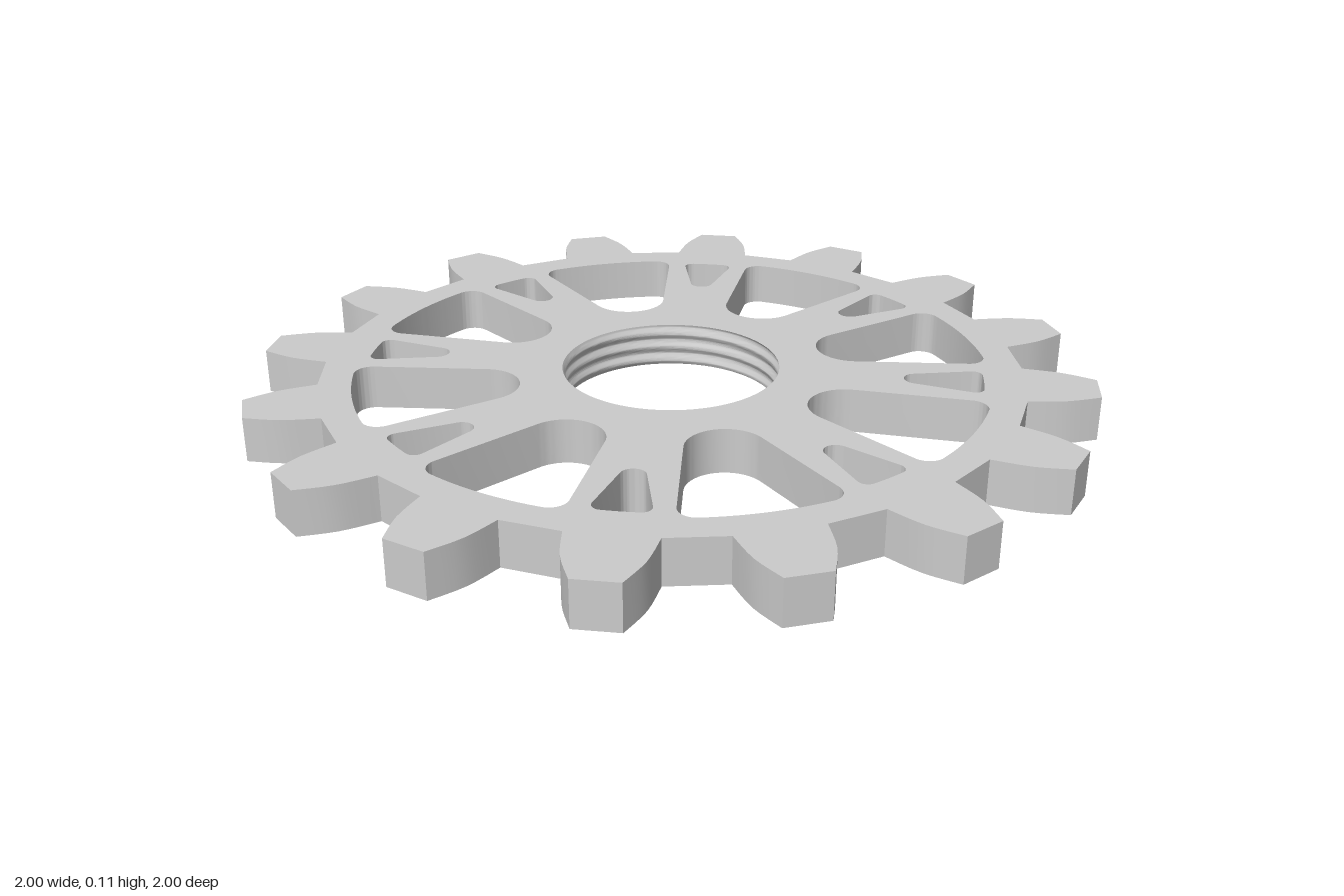
import * as THREE from 'three';
import { toCreasedNormals } from 'three/addons/utils/BufferGeometryUtils.js';

const HEIGHT = 0.107, TEETH = 16, SPOKES = 8;
const BORE = 0.256, COLLAR = 0.275, BORE_SEGMENTS = 96;

const rotated = (points, angle) => points.map(p => p.clone().rotateAround(new THREE.Vector2(), angle));

// Outline of the toothed rim: each tooth has a flat tip and slightly bowed flanks
function gearOutline() {
  const flank = new THREE.SplineCurve([
    new THREE.Vector2(0.096, 0.83), new THREE.Vector2(0.082, 0.92), new THREE.Vector2(0.05, 1)
  ]).getPoints(8);
  const mirrored = flank.map(p => new THREE.Vector2(-p.x, p.y)).reverse();
  const tooth = [...flank, ...mirrored];
  const outline = [];
  for (let i = 0; i < TEETH; i++) outline.push(...rotated(tooth, i * 2 * Math.PI / TEETH));
  return new THREE.Shape(outline);
}

// Wedge-shaped window: round inner end, slanted sides, filleted corners, outer arc about the hub
function windowPoints({ centre, inner, slant, outer, fillet }) {
  const cos = Math.cos(slant), sin = Math.sin(slant);
  const x0 = cos * (inner - fillet), y0 = centre - sin * (inner - fillet);
  const b = x0 * sin + y0 * cos;
  const t = -b + Math.sqrt(b * b - (x0 * x0 + y0 * y0 - (outer - fillet) ** 2));
  const fx = x0 + t * sin, fy = y0 + t * cos;
  const corner = Math.atan2(fy, fx);
  const path = new THREE.Path();
  path.absarc(0, centre, inner, Math.PI + slant, 2 * Math.PI - slant);
  path.absarc(fx, fy, fillet, -slant, corner);
  path.absarc(0, 0, outer, corner, Math.PI - corner);
  path.absarc(-fx, fy, fillet, Math.PI - corner, Math.PI + slant);
  path.closePath();
  return path.getPoints(16);
}

// Flat gear body with the windows cut through it
function plateGeometry() {
  const shape = gearOutline();
  const large = windowPoints({ centre: 0.462, inner: 0.092, slant: 0.31, outer: 0.757, fillet: 0.04 });
  const small = windowPoints({ centre: 0.58, inner: 0.029, slant: 0.24, outer: 0.737, fillet: 0.022 });
  const step = 2 * Math.PI / SPOKES;
  for (let i = 0; i < SPOKES; i++) {
    shape.holes.push(new THREE.Path(rotated(large, i * step)));
    shape.holes.push(new THREE.Path(rotated(small, (i + 0.5) * step)));
  }
  const circle = [];
  for (let i = 0; i < BORE_SEGMENTS; i++) {
    const a = i * 2 * Math.PI / BORE_SEGMENTS;
    circle.push(new THREE.Vector2(COLLAR * Math.cos(a), COLLAR * Math.sin(a)));
  }
  shape.holes.push(new THREE.Path(circle));
  const geometry = new THREE.ExtrudeGeometry(shape, { depth: HEIGHT, bevelEnabled: false });
  geometry.rotateX(-Math.PI / 2);
  return toCreasedNormals(geometry, 0.35);
}

// Bore wall with a helical thread, closed to the plate by flat rings at top and bottom
function threadGeometry() {
  const rows = 30, pitch = 0.036, depth = 0.008;
  const positions = [], index = [];
  for (let i = 0; i <= BORE_SEGMENTS; i++) {
    const a = i * 2 * Math.PI / BORE_SEGMENTS;
    for (let j = 0; j <= rows + 2; j++) {
      const y = HEIGHT * (1 - THREE.MathUtils.clamp((j - 1) / rows, 0, 1));
      const groove = 0.5 - 0.5 * Math.cos(2 * Math.PI * y / pitch + a);
      const r = j === 0 || j === rows + 2 ? COLLAR : BORE + depth * groove;
      positions.push(r * Math.cos(a), y, r * Math.sin(a));
    }
  }
  const stride = rows + 3;
  for (let i = 0; i < BORE_SEGMENTS; i++) {
    for (let j = 0; j < stride - 1; j++) {
      const p = i * stride + j, q = p + stride;
      index.push(p, p + 1, q, q, p + 1, q + 1);
    }
  }
  const geometry = new THREE.BufferGeometry();
  geometry.setAttribute('position', new THREE.Float32BufferAttribute(positions, 3));
  geometry.setIndex(index);
  return toCreasedNormals(geometry, 0.6);
}

export function createModel() {
  const material = new THREE.MeshStandardMaterial({ color: 0xcccccc });
  const group = new THREE.Group();
  group.name = 'gearWheel';
  const parts = { gearPlate: plateGeometry(), threadedBore: threadGeometry() };
  for (const [name, geometry] of Object.entries(parts)) {
    const mesh = new THREE.Mesh(geometry, material);
    mesh.name = name;
    group.add(mesh);
  }
  return group;
}
